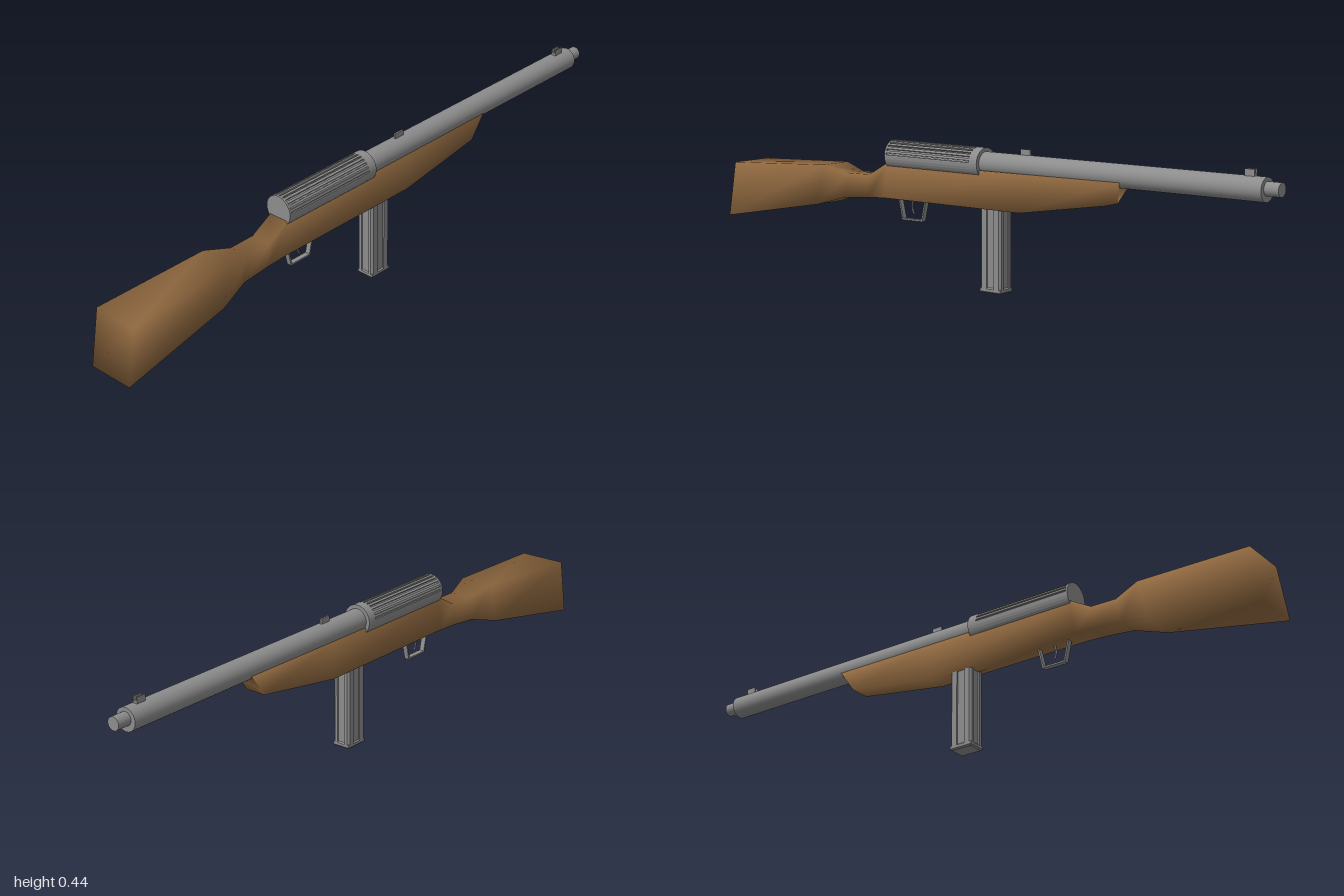
import * as THREE from 'three';

const wood = new THREE.MeshStandardMaterial({ color: 0x8f683f });
wood.name = 'wood';
const steel = new THREE.MeshStandardMaterial({ color: 0x8c8c8c });
steel.name = 'steel';
const AXIS_Y = 0.382;

function add(parent, name, geometry, material, x = 0, y = 0, z = 0) {
  const mesh = new THREE.Mesh(geometry, material);
  mesh.name = name;
  mesh.position.set(x, y, z);
  parent.add(mesh);
  return mesh;
}

// Cylinder lying along z between two depths
function rod(parent, name, r, z0, z1, y = AXIS_Y) {
  const g = new THREE.CylinderGeometry(r, r, z1 - z0, 32).rotateX(Math.PI / 2);
  return add(parent, name, g, steel, 0, y, (z0 + z1) / 2);
}

// Flat polygon from [x, y] pairs
const polygon = (pts) => new THREE.Shape(pts.map(([x, y]) => new THREE.Vector2(x, y)));

// Stock: rectangular sections joined in a loop, shared corners for soft shading
function stockGeometry() {
  // top z, top y, bottom z, bottom y, half width
  const sections = [
    [-0.5, 0.367, -0.45, 0.297, 0.033],
    [-0.15, 0.364, -0.15, 0.25, 0.033],
    [0.355, 0.361, 0.37, 0.25, 0.033],
    [0.43, 0.318, 0.44, 0.246, 0.033],
    [0.515, 0.316, 0.53, 0.238, 0.034],
    [0.6, 0.337, 0.63, 0.21, 0.055],
    [0.97, 0.32, 1.0, 0.145, 0.074],
  ];
  const pos = [];
  const idx = [];
  sections.forEach(([zt, yt, zb, yb, w], i) => {
    pos.push(w, yt, zt, -w, yt, zt, -w, yb, zb, w, yb, zb);
    if (i === 0) return;
    const a = (i - 1) * 4;
    const b = i * 4;
    for (let k = 0; k < 4; k++) {
      const n = (k + 1) % 4;
      idx.push(a + k, a + n, b + k, a + n, b + n, b + k);
    }
  });
  const e = (sections.length - 1) * 4;
  idx.push(0, 3, 2, 0, 2, 1, e, e + 1, e + 2, e, e + 2, e + 3);
  const g = new THREE.BufferGeometry();
  g.setAttribute('position', new THREE.Float32BufferAttribute(pos, 3));
  g.setIndex(idx);
  g.computeVertexNormals();
  return g;
}

// Receiver outline: round, with grooves cut across its upper half
function groovedCircle(r, depth, grooves) {
  const pts = [];
  const at = (radius, a) => pts.push([radius * Math.cos(a), radius * Math.sin(a)]);
  const step = Math.PI / grooves;
  for (let i = 0; i < grooves; i++) {
    const a = i * step;
    at(r, a);
    at(r, a + step * 0.28);
    at(r - depth, a + step * 0.3);
    at(r - depth, a + step * 0.7);
    at(r, a + step * 0.72);
  }
  for (let i = 0; i < 16; i++) at(r, Math.PI + (i * Math.PI) / 16);
  return polygon(pts);
}

// Magazine outline: chamfered box with a shallow channel on each side
function magazineOutline() {
  const w = 0.029, d = 0.038, c = 0.006, s = 0.013, g = 0.004;
  const quarter = [[w - g, 0], [w - g, s], [w, s + 0.001], [w, d - c], [w - c, d],
    [s + 0.001, d], [s, d - g]];
  const mx = quarter.map(([x, y]) => [-x, y]).reverse();
  const upper = [...quarter, ...mx];
  const lower = upper.map(([x, y]) => [x, -y]).reverse().slice(1, -1);
  return polygon([...upper, ...lower]);
}

// Upright prism from a plan outline
function prism(shape, height, bevel = 0) {
  return new THREE.ExtrudeGeometry(shape, {
    depth: height, bevelEnabled: bevel > 0, bevelSize: bevel, bevelThickness: bevel,
    bevelSegments: 1, steps: 1,
  }).rotateX(-Math.PI / 2);
}

export function createModel() {
  const model = new THREE.Group();
  model.name = 'longGun';

  add(model, 'stock', stockGeometry(), wood);

  // Barrel and muzzle
  rod(model, 'barrel', 0.0345, -0.955, 0.0);
  rod(model, 'muzzle', 0.02, -1.0, -0.95, 0.385);

  // Receiver with grooved middle
  const receiver = new THREE.Group();
  receiver.name = 'receiver';
  model.add(receiver);
  rod(receiver, 'frontBand', 0.046, 0.0, 0.03);
  const ribs = new THREE.ExtrudeGeometry(groovedCircle(0.046, 0.005, 11),
    { depth: 0.322, bevelEnabled: false });
  add(receiver, 'groovedCover', ribs, steel, 0, AXIS_Y, 0.03);
  rod(receiver, 'endCap', 0.046, 0.352, 0.358);

  // Magazine with chamfered floor plate
  const magazine = new THREE.Group();
  magazine.name = 'magazine';
  magazine.position.z = -0.038;
  model.add(magazine);
  add(magazine, 'magazineBody', prism(magazineOutline(), 0.25), steel, 0, 0.012, 0);
  const floor = polygon([[-0.025, -0.034], [0.025, -0.034], [0.025, 0.034], [-0.025, 0.034]]);
  add(magazine, 'floorPlate', prism(floor, 0.008, 0.004), steel, 0, 0.004, 0);

  // Trigger guard: thin bent strip in the side plane
  const guard = polygon([[0.336, 0.255], [0.32, 0.185], [0.241, 0.185], [0.225, 0.255],
    [0.23, 0.255], [0.245, 0.19], [0.316, 0.19], [0.331, 0.255]]);
  const guardGeo = new THREE.ExtrudeGeometry(guard, { depth: 0.016, bevelEnabled: false })
    .translate(0, 0, -0.008).rotateY(-Math.PI / 2);
  add(model, 'triggerGuard', guardGeo, steel);

  // Curved trigger
  const path = new THREE.QuadraticBezierCurve3(
    new THREE.Vector3(0, 0.255, 0.278),
    new THREE.Vector3(0, 0.225, 0.293),
    new THREE.Vector3(0, 0.205, 0.278));
  add(model, 'trigger', new THREE.TubeGeometry(path, 8, 0.003, 6), steel);

  // Sights
  for (const side of [-1, 1]) {
    add(model, 'frontSightProng', new THREE.BoxGeometry(0.003, 0.024, 0.032), steel,
      side * 0.006, 0.423, -0.903);
  }
  add(model, 'frontSightBase', new THREE.BoxGeometry(0.014, 0.012, 0.032), steel, 0, 0.417, -0.903);
  add(model, 'rearSight', new THREE.BoxGeometry(0.006, 0.022, 0.034), steel, 0, 0.422, -0.148);

  return model;
}
